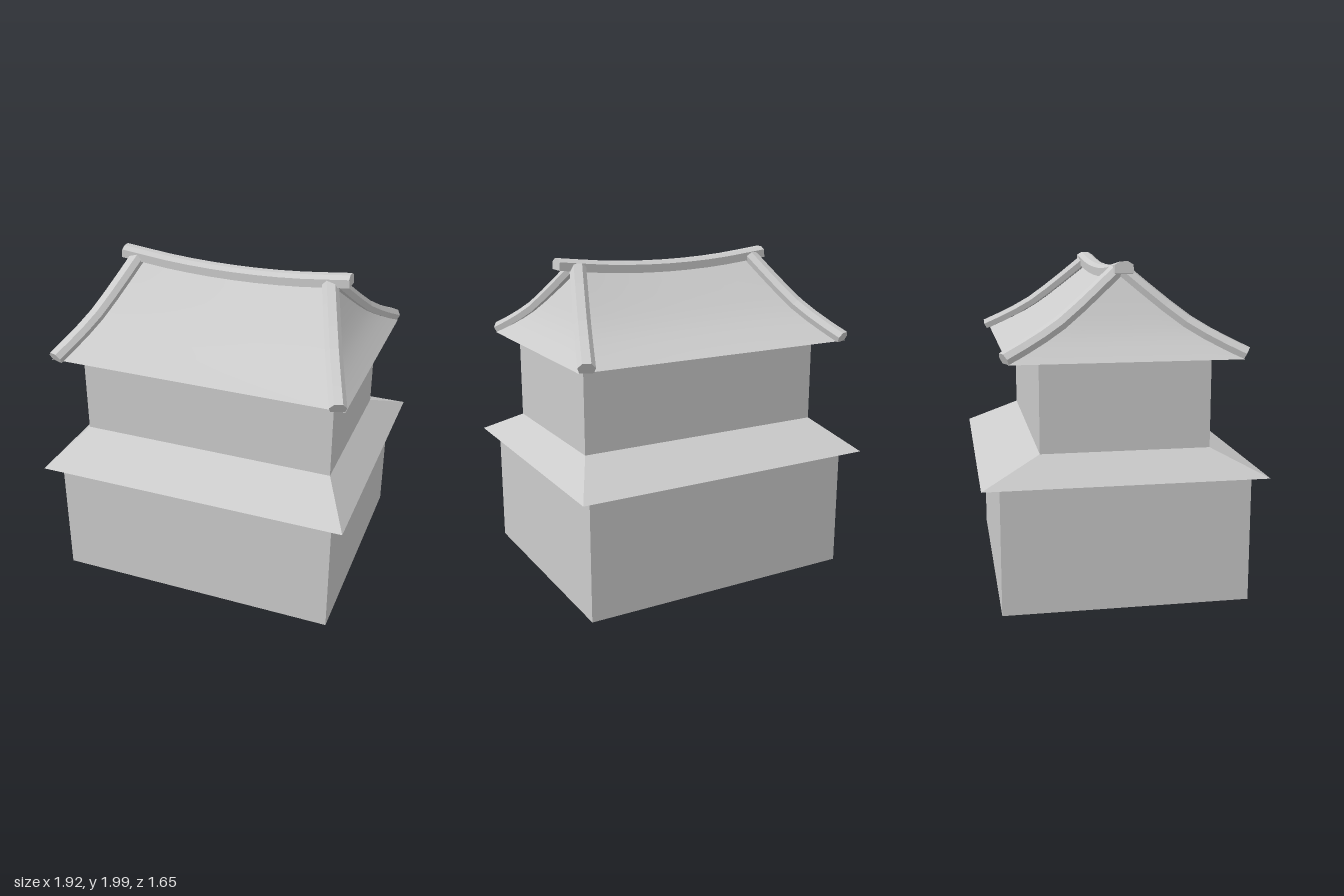
import * as THREE from 'three';

const flat = new THREE.MeshStandardMaterial({ color: 0xcccccc, flatShading: true });
const smooth = new THREE.MeshStandardMaterial({ color: 0xcccccc });

function addMesh(parent, name, geometry, material) {
  const mesh = new THREE.Mesh(geometry, material);
  mesh.name = name;
  parent.add(mesh);
  return mesh;
}

function build(positions, index) {
  const g = new THREE.BufferGeometry();
  g.setAttribute('position', new THREE.Float32BufferAttribute(positions, 3));
  g.setIndex(index);
  g.computeVertexNormals();
  return g;
}

// Box between two heights whose top may be a different rectangle [x0, x1, z0, z1]
function block(bottom, top, y0, y1) {
  const g = new THREE.BoxGeometry(1, 1, 1);
  const p = g.attributes.position;
  for (let i = 0; i < p.count; i++) {
    const up = p.getY(i) > 0;
    const r = up ? top : bottom;
    p.setXYZ(i, p.getX(i) < 0 ? r[0] : r[1], up ? y1 : y0, p.getZ(i) < 0 ? r[2] : r[3]);
  }
  g.computeVertexNormals();
  return g;
}

// Smooth grid surface from a rule (u, v) -> [x, y, z]
function surface(rule, nu, nv) {
  const pos = [], index = [];
  for (let j = 0; j <= nv; j++)
    for (let i = 0; i <= nu; i++) pos.push(...rule(i / nu, j / nv));
  for (let j = 0; j < nv; j++)
    for (let i = 0; i < nu; i++) {
      const a = j * (nu + 1) + i, c = a + nu + 1;
      index.push(a, c, c + 1, a, c + 1, a + 1);
    }
  return build(pos, index);
}

// Sweeps a convex section (side, up) along a path lying in a vertical plane
function sweep(curve, section, steps) {
  const pos = [], index = [], n = section.length;
  const Y = new THREE.Vector3(0, 1, 0);
  for (let i = 0; i <= steps; i++) {
    const p = curve.getPoint(i / steps), t = curve.getTangent(i / steps);
    const side = t.clone().cross(Y).normalize();
    const up = side.clone().cross(t);
    for (const [s, h] of section)
      pos.push(...p.clone().addScaledVector(side, s).addScaledVector(up, h).toArray());
  }
  for (let i = 0; i < steps; i++)
    for (let k = 0; k < n; k++) {
      const a = i * n + k, b = i * n + (k + 1) % n;
      index.push(a, a + n, b + n, a, b + n, b);
    }
  const e = steps * n;
  for (let k = 1; k < n - 1; k++) index.push(0, k, k + 1, e, e + k + 1, e + k);
  return build(pos, index);
}

export function createModel() {
  const model = new THREE.Group();
  model.name = 'pagoda';

  // Two storeys and the sloping skirt roof between them
  const lower = [-0.875, 0.875, -0.72, 0.74];
  const upper = [-0.8, 0.79, -0.485, 0.505];
  addMesh(model, 'lowerStorey', block(lower, lower, 0, 0.765), flat);
  addMesh(model, 'skirtRoof', block([-0.96, 0.96, -0.825, 0.825], upper, 0.765, 0.925), flat);
  addMesh(model, 'upperStorey', block(upper, upper, 0.925, 1.455), flat);

  // Curved hip roof
  const roof = new THREE.Group();
  roof.name = 'upperRoof';
  roof.position.x = -0.016;
  model.add(roof);
  const profile = [[0, 1.91], [0.17, 1.765], [0.34, 1.63], [0.5, 1.535], [0.66, 1.455]];
  const slope = new THREE.SplineCurve(profile.map(([z, y]) => new THREE.Vector2(z, y)));
  const halfX = z => 0.61 + 0.3 * z / 0.66;
  const frontSlope = surface((u, v) => {
    const { x: z, y } = slope.getPoint(v), w = 2 * u - 1;
    return [w * halfX(z), y - 0.025 * (1 - w * w) * (1 - v), z];
  }, 12, 8);
  const endSlope = surface((u, v) => {
    const { x: z, y } = slope.getPoint(v);
    return [halfX(z), y, z * (1 - 2 * u)];
  }, 6, 8);
  for (const [i, ends] of [['front', 'left'], ['back', 'right']].entries()) {
    addMesh(roof, ends[0] + 'Slope', frontSlope, smooth).rotation.y = i * Math.PI;
    addMesh(roof, ends[1] + 'Slope', endSlope, smooth).rotation.y = i * Math.PI;
  }
  const soffit = addMesh(roof, 'soffit', new THREE.PlaneGeometry(1.82, 1.32), flat);
  soffit.rotation.x = Math.PI / 2;
  soffit.position.y = 1.455;

  // Hip ribs running down the four corners
  const ribSection = [[-0.04, -0.005], [0.04, -0.005], [0.05, 0.03], [0.025, 0.06], [-0.025, 0.06], [-0.05, 0.03]];
  for (const sx of [-1, 1])
    for (const sz of [-1, 1]) {
      const path = new THREE.CatmullRomCurve3(profile.map(([z, y]) => {
        const d = 0.01 + z * 1.005;
        return new THREE.Vector3(sx * (0.61 + 0.385 * d), y + 0.005, sz * d);
      }));
      addMesh(roof, 'hipRib', sweep(path, ribSection, 6), flat);
    }

  // Sagging main ridge
  const ridgePath = new THREE.CatmullRomCurve3([-0.73, -0.365, 0, 0.365, 0.73].map(
    x => new THREE.Vector3(x, 1.875 + 0.05 * (x / 0.73) ** 2, 0.01)));
  const ridgeSection = [[-0.053, 0], [0.053, 0], [0.053, 0.05], [0.022, 0.068], [-0.022, 0.068], [-0.053, 0.05]];
  addMesh(model, 'mainRidge', sweep(ridgePath, ridgeSection, 10), flat);

  return model;
}
